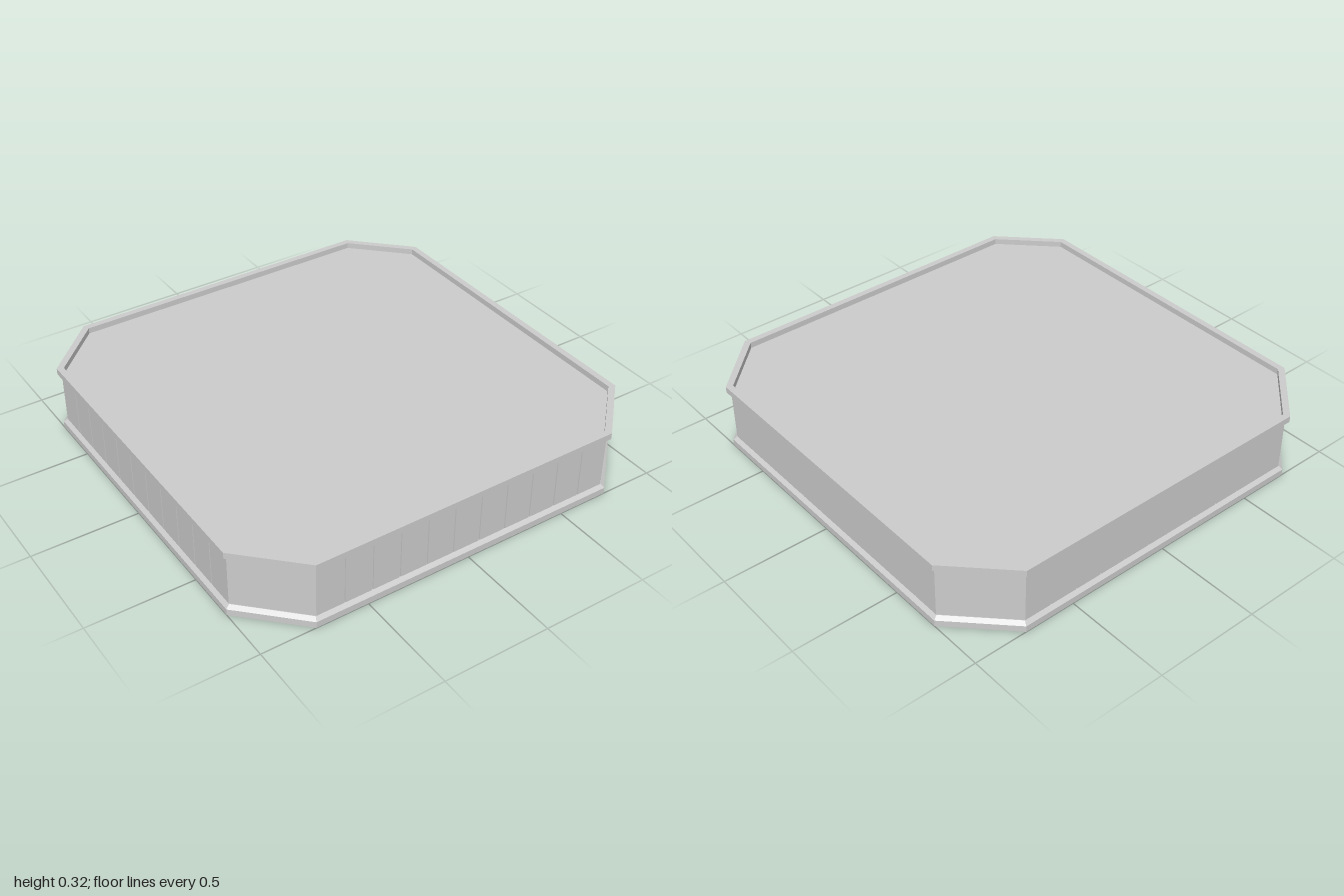
import * as THREE from 'three';

// Chamfered-square outline at half width r, counter-clockwise from above, as [x, z].
const corner = (r) => 0.745 - (1 - r) * 0.414;

function quarterTurns(side) {
  const out = [];
  for (let k = 0; k < 4; k++) {
    for (const [x, z] of side) {
      let p = [x, z];
      for (let i = 0; i < k; i++) p = [p[1], -p[0]];
      out.push(p);
    }
  }
  return out;
}

const octagon = (r) => quarterTurns([[-corner(r), r], [corner(r), r]]);

// Skin successive closed outlines { pts, y } with flat quads.
function skin(rings) {
  const pos = [];
  for (let j = 0; j < rings.length - 1; j++) {
    const a = rings[j], b = rings[j + 1], n = a.pts.length;
    for (let i = 0; i < n; i++) {
      const k = (i + 1) % n;
      const v = (ring, m) => [ring.pts[m][0], ring.y, ring.pts[m][1]];
      pos.push(...v(a, i), ...v(a, k), ...v(b, k), ...v(a, i), ...v(b, k), ...v(b, i));
    }
  }
  const g = new THREE.BufferGeometry();
  g.setAttribute('position', new THREE.Float32BufferAttribute(pos, 3));
  g.computeVertexNormals();
  return g;
}

const trim = (profile) => skin(profile.map(([r, y]) => ({ pts: octagon(r), y })));

export function createModel() {
  const group = new THREE.Group();
  const material = new THREE.MeshStandardMaterial({
    color: 0xcccccc, flatShading: true, side: THREE.DoubleSide,
  });
  const add = (name, geometry) => {
    const mesh = new THREE.Mesh(geometry, material);
    mesh.name = name;
    group.add(mesh);
    return mesh;
  };

  // Thin wall: eleven panels per long side, parted by narrow grooves
  const wallR = 0.983, c = 0.735, panels = 11, half = 0.003, depth = 0.006;
  const side = [[-c, wallR]];
  for (let i = 1; i < panels; i++) {
    const x = -c + (2 * c * i) / panels;
    side.push([x - half, wallR], [x - half, wallR - depth],
      [x + half, wallR - depth], [x + half, wallR]);
  }
  side.push([c, wallR]);
  const wall = quarterTurns(side);
  add('panelledWall', skin([{ pts: wall, y: 0.03 }, { pts: wall, y: 0.297 }]));

  // Raised rim around the deck, bevelled underneath
  add('upperRim', trim([[0.975, 0.285], [0.983, 0.285], [1, 0.295], [1, 0.325],
    [0.97, 0.325], [0.97, 0.295]]));

  // Base rim, bevelled on top
  add('lowerRim', trim([[0.97, 0], [1, 0], [1, 0.03], [0.983, 0.045],
    [0.97, 0.045], [0.97, 0]]));

  // Deck plate, sunk slightly below the rim; the underside stays open
  const shape = new THREE.Shape(octagon(0.98).map(([x, z]) => new THREE.Vector2(x, -z)));
  const deck = add('deck', new THREE.ShapeGeometry(shape));
  deck.rotation.x = -Math.PI / 2;
  deck.position.y = 0.297;

  return group;
}
